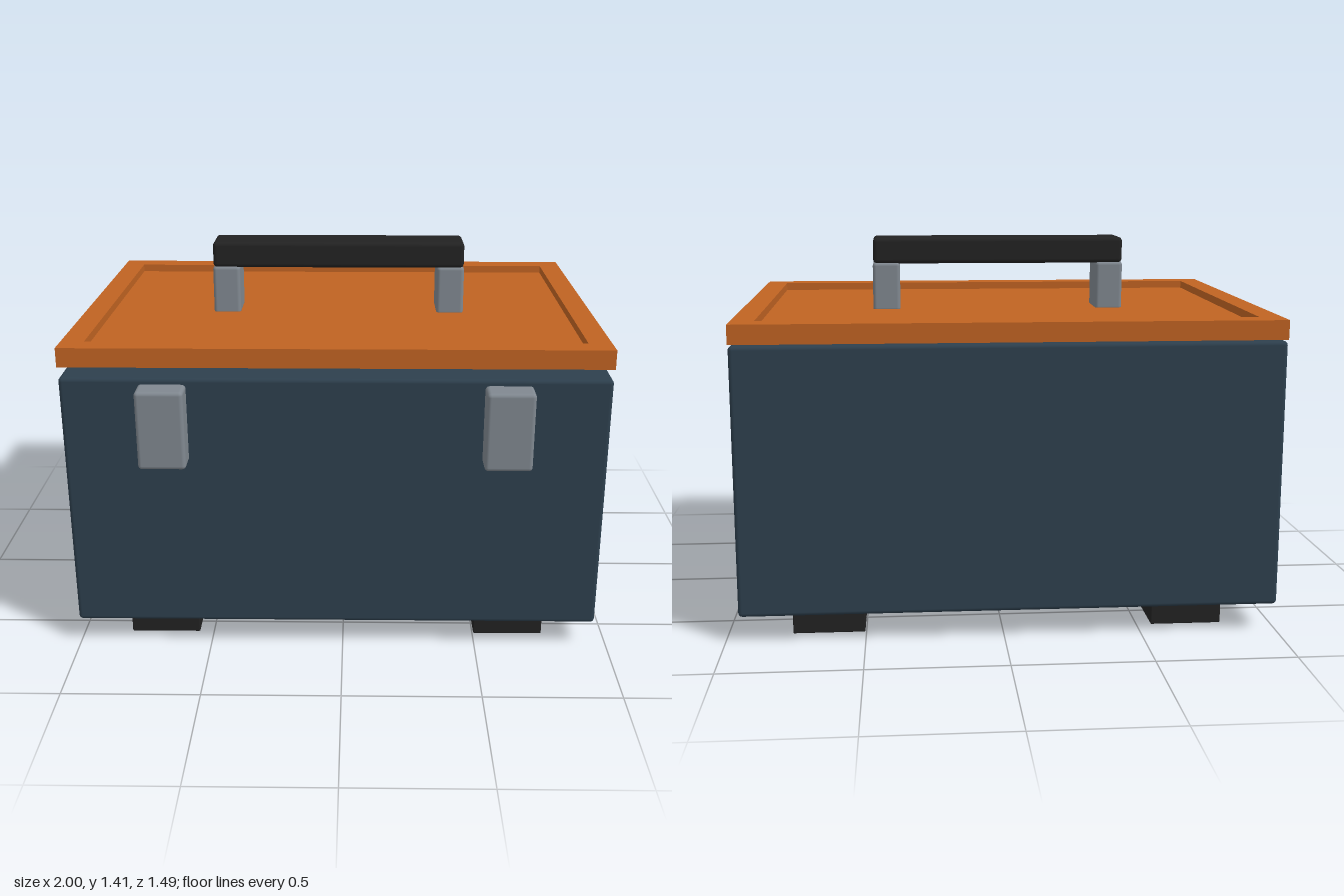
import * as THREE from 'three';
import { RoundedBoxGeometry } from 'three/addons/geometries/RoundedBoxGeometry.js';

const material = (name, color) => {
  const m = new THREE.MeshStandardMaterial({ color });
  m.name = name;
  return m;
};

// Box given by its extents; radius 0 means sharp edges
function block(parent, name, mat, [x0, x1], [y0, y1], [z0, z1], radius = 0) {
  const size = [x1 - x0, y1 - y0, z1 - z0];
  const geometry = radius
    ? new RoundedBoxGeometry(...size, 3, radius)
    : new THREE.BoxGeometry(...size);
  const mesh = new THREE.Mesh(geometry, mat);
  mesh.name = name;
  mesh.position.set((x0 + x1) / 2, (y0 + y1) / 2, (z0 + z1) / 2);
  parent.add(mesh);
  return mesh;
}

function rectangle(PathType, x0, x1, y0, y1) {
  return new PathType([[x0, y0], [x1, y0], [x1, y1], [x0, y1]].map(p => new THREE.Vector2(...p)));
}

export function createModel() {
  const navy = material('navy', 0x2d3f4d);
  const orange = material('orange', 0xc06322);
  const steel = material('steel grey', 0x808890);
  const black = material('black', 0x222222);

  const model = new THREE.Group();
  model.name = 'toolbox';

  const bodyX = [-1, 0.95], bodyZ = [-0.745, 0.66];
  const centreX = -0.025;

  // Body
  block(model, 'body', navy, bodyX, [0.1, 1.07], bodyZ, 0.015);

  // Feet and latches in pairs
  for (const side of [-1, 1]) {
    const label = side < 0 ? 'right' : 'left';
    const footX = centreX + side * 0.66, latchX = centreX + side * 0.611;
    block(model, label + 'Foot', black, [footX - 0.131, footX + 0.131], [0, 0.11], [-0.65, 0.575], 0.004);
    block(model, label + 'Latch', steel, [latchX - 0.085, latchX + 0.085], [0.757, 1.048], [0.63, 0.745], 0.014);
  }

  // Upright bar on the left side
  block(model, 'sideBar', steel, [0.92, 1], [0.245, 0.826], [0.287, 0.368], 0.01);

  // Lid, hinged at the back and slightly open
  const lid = new THREE.Group();
  lid.name = 'lid';
  lid.position.set(0, 1.075, bodyZ[0]);
  lid.rotation.x = -0.025;
  model.add(lid);

  // Raised rim around a sunken panel
  const rim = 0.084, depth = bodyZ[1] - bodyZ[0];
  const outline = rectangle(THREE.Shape, bodyX[0], bodyX[1], -depth, 0);
  outline.holes.push(rectangle(THREE.Path, bodyX[0] + rim, bodyX[1] - rim, -depth + rim, -rim));
  const rimGeometry = new THREE.ExtrudeGeometry(outline, { depth: 0.07, bevelEnabled: false });
  rimGeometry.rotateX(-Math.PI / 2);
  const rimMesh = new THREE.Mesh(rimGeometry, orange);
  rimMesh.name = 'lidRim';
  lid.add(rimMesh);
  block(lid, 'lidPanel', orange, [bodyX[0] + rim, bodyX[1] - rim], [0.012, 0.04], [rim, depth - rim]);

  // Carrying handle
  const gripZ = 0.706;
  for (const side of [-1, 1]) {
    const x = centreX + side * 0.439;
    block(lid, side < 0 ? 'rightHandlePost' : 'leftHandlePost', steel,
      [x - 0.053, x + 0.053], [0.03, 0.222], [gripZ - 0.084, gripZ + 0.084], 0.014);
  }
  block(lid, 'handleGrip', black, [-0.515, 0.465], [0.217, 0.317], [gripZ - 0.084, gripZ + 0.084], 0.016);

  return model;
}
